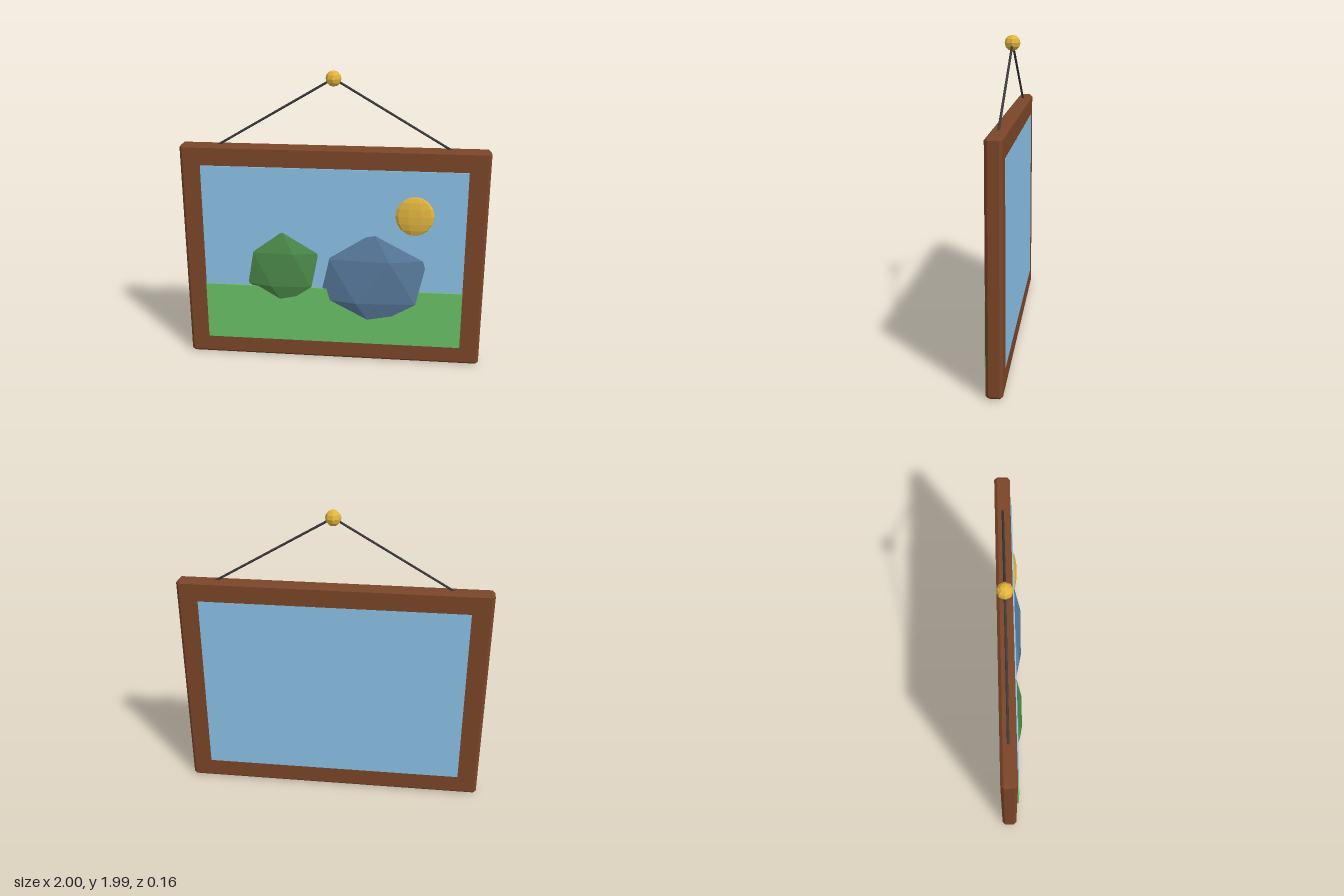
import * as THREE from 'three';
import { ConvexGeometry } from 'three/addons/geometries/ConvexGeometry.js';

const paint = (name, color, flatShading = true) => {
  const m = new THREE.MeshStandardMaterial({ color, flatShading });
  m.name = name;
  return m;
};

// Box with chamfered edges, as the hull of its 24 corner points
function chamferBox(w, h, d, c) {
  const pts = [];
  for (const sx of [-1, 1]) for (const sy of [-1, 1]) for (const sz of [-1, 1]) {
    const x = w / 2, y = h / 2, z = d / 2;
    pts.push(
      new THREE.Vector3(sx * x, sy * (y - c), sz * (z - c)),
      new THREE.Vector3(sx * (x - c), sy * y, sz * (z - c)),
      new THREE.Vector3(sx * (x - c), sy * (y - c), sz * z));
  }
  return new ConvexGeometry(pts);
}

// Icosahedron standing on a pole: two staggered rings of five and two tips
function poledIcosahedron() {
  const pts = [new THREE.Vector3(0, 1, 0), new THREE.Vector3(0, -1, 0)];
  for (let i = 0; i < 5; i++) {
    const a = i * Math.PI * 2 / 5;
    const x = Math.cos(a) * 0.894, z = Math.sin(a) * 0.894;
    pts.push(new THREE.Vector3(x, 0.447, z), new THREE.Vector3(-x, -0.447, -z));
  }
  return new ConvexGeometry(pts);
}

export function createModel() {
  const group = new THREE.Group();
  const wood = paint('wood brown', 0x7a4528);
  const skyBlue = paint('sky blue', 0x8ac0e6);
  const grass = paint('grass green', 0x68c066);
  const leaf = paint('leaf green', 0x4c8a4a);
  const slate = paint('slate blue', 0x587a9c);
  const gold = paint('gold', 0xe2b53e);
  const cordGrey = paint('cord grey', 0x3a3a3a, false);

  const add = (name, geometry, material, x, y, z, scale) => {
    const mesh = new THREE.Mesh(geometry, material);
    mesh.name = name;
    mesh.position.set(x, y, z);
    if (scale) mesh.scale.set(...scale);
    group.add(mesh);
    return mesh;
  };

  // Frame board; the sky panel runs through it and shows on the back as well
  add('frame', chamferBox(2, 1.5, 0.1, 0.018), wood, 0, 0.75, -0.03);
  add('sky', new THREE.BoxGeometry(1.73, 1.23, 0.111), skyBlue, 0, 0.75, -0.0255);
  add('ground', new THREE.BoxGeometry(1.73, 0.4, 0.05), grass, 0, 0.335, 0.015);

  // Flattened scenery in relief
  add('bush', poledIcosahedron(), leaf, -0.335, 0.665, 0.028, [0.268, 0.263, 0.049]);
  add('rock', poledIcosahedron(), slate, 0.268, 0.603, 0.024, [0.398, 0.34, 0.066]);
  add('sun', new THREE.SphereGeometry(1, 10, 8), gold, 0.533, 1.067, 0.026, [0.132, 0.134, 0.03]);

  // Hanging cord and nail
  const nail = new THREE.Vector3(0, 1.935, -0.03);
  for (const side of [-1, 1]) {
    const end = new THREE.Vector3(side * 0.755, 1.492, -0.03);
    const span = nail.clone().sub(end);
    const mid = end.clone().addScaledVector(span, 0.5);
    const cord = add(side > 0 ? 'leftCord' : 'rightCord',
      new THREE.CylinderGeometry(0.0075, 0.0075, span.length(), 8), cordGrey, mid.x, mid.y, mid.z);
    cord.quaternion.setFromUnitVectors(new THREE.Vector3(0, 1, 0), span.normalize());
  }
  add('nail', new THREE.SphereGeometry(0.05, 8, 6), gold, nail.x, nail.y, nail.z);

  return group;
}
